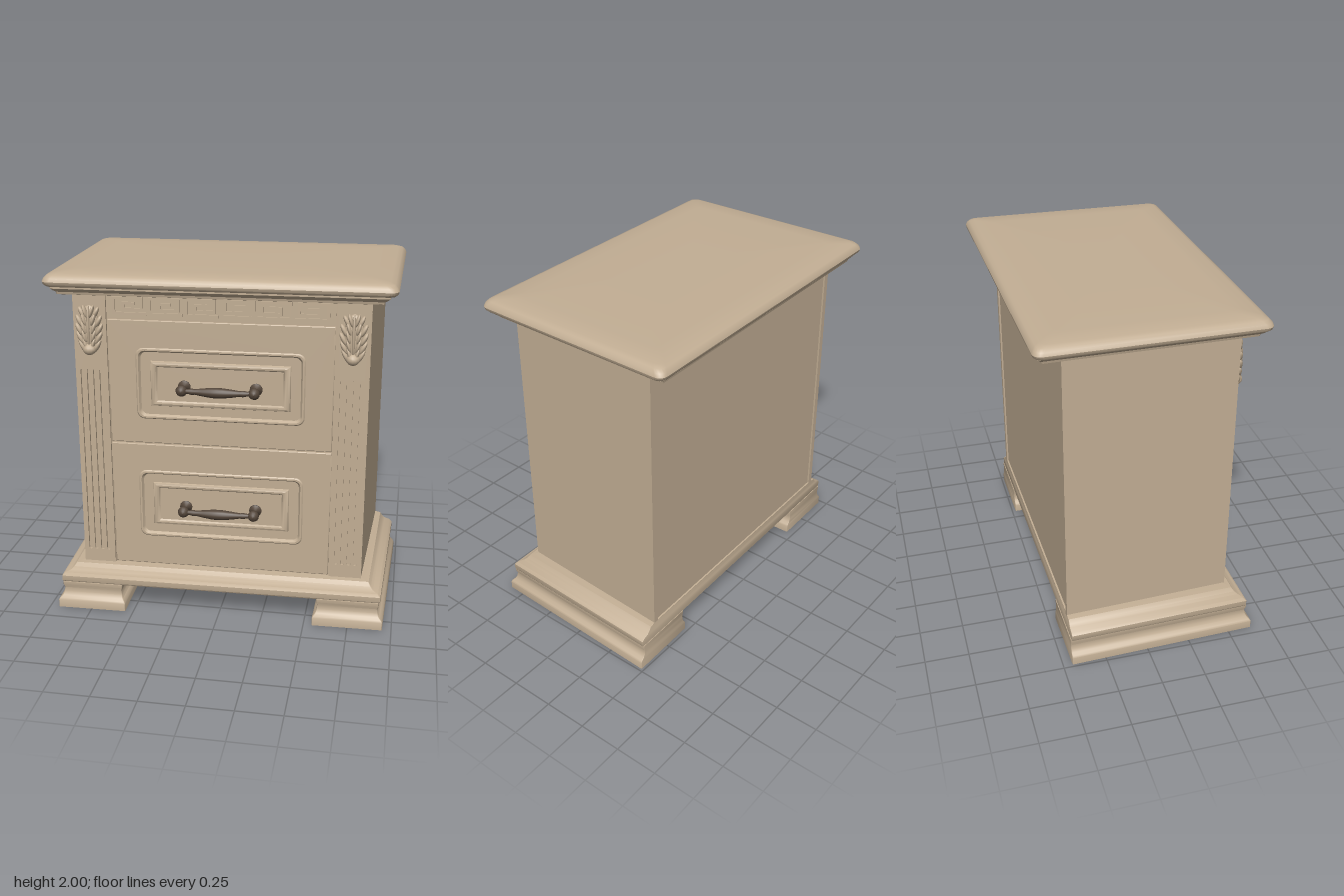
import * as THREE from 'three';
import { toCreasedNormals } from 'three/addons/utils/BufferGeometryUtils.js';

const paint = new THREE.MeshStandardMaterial({ color: 0xc2ae94 });
paint.name = 'beige paint';
const bronze = new THREE.MeshStandardMaterial({ color: 0x54463a });
bronze.name = 'dark bronze';

// Closed solid through rounded rectangles [x0, x1, z0, z1, cornerRadius, y]
function loft(rings, steps = 5) {
  const pos = [], idx = [], n = 4 * (steps + 1);
  for (const [x0, x1, z0, z1, r, y] of rings) {
    [[x1, z1, -1, -1], [x0, z1, 1, -1], [x0, z0, 1, 1], [x1, z0, -1, 1]].forEach(([x, z, sx, sz], q) => {
      for (let i = 0; i <= steps; i++) {
        const a = (q + i / steps) * Math.PI / 2;
        pos.push(x + sx * r + r * Math.cos(a), y, z + sz * r + r * Math.sin(a));
      }
    });
  }
  const last = rings.length - 1;
  for (const i of [0, last]) {
    const [x0, x1, z0, z1, , y] = rings[i];
    pos.push((x0 + x1) / 2, y, (z0 + z1) / 2);
  }
  const low = rings.length * n, high = low + 1;
  for (let j = 0; j < n; j++) {
    const k = (j + 1) % n;
    for (let i = 0; i < last; i++) {
      const a = i * n, b = a + n;
      idx.push(a + j, b + j, b + k, a + j, b + k, a + k);
    }
    idx.push(low, j, k, high, last * n + k, last * n + j);
  }
  const g = new THREE.BufferGeometry();
  g.setAttribute('position', new THREE.Float32BufferAttribute(pos, 3));
  g.setIndex(idx);
  return toCreasedNormals(g, 0.6);
}

const box = (x0, x1, y0, y1, z0, z1) =>
  new THREE.BoxGeometry(x1 - x0, y1 - y0, z1 - z0).translate((x0 + x1) / 2, (y0 + y1) / 2, (z0 + z1) / 2);

// The cabinet widens towards the back (taper) and is slightly askew
function settle(g, taper) {
  const p = g.attributes.position;
  for (let i = 0; i < p.count; i++) {
    const x = p.getX(i), z = p.getZ(i);
    p.setX(i, x * (1 - taper * z));
    p.setZ(i, z - 0.02 * x);
  }
  return g;
}

export function createModel() {
  const model = new THREE.Group();
  model.name = 'nightstand';
  const add = (name, g, taper = 0, material = paint) => {
    const m = new THREE.Mesh(settle(g, taper), material);
    m.name = name;
    model.add(m);
  };

  // Carcass: core, side edges around the recessed back
  add('carcass', box(-0.835, 0.835, 0.24, 1.88, -0.452, 0.478), 0.055);
  for (const s of [-1, 1]) {
    const [a, b] = [s * 0.802, s * 0.835].sort((p, q) => p - q);
    add('sideEdge', box(a, b, 0.24, 1.88, -0.462, -0.45), 0.055);
  }

  // Top slab with rounded edge, and the moulding beneath it
  const around = (x, z, r, y) => [-x, x, -z - 0.004, z, r, y];
  add('top', loft([[0.915, 0.575, 0.03, 1.915], [0.94, 0.6, 0.04, 1.92], [0.953, 0.613, 0.045, 1.932],
    [0.957, 0.617, 0.045, 1.947], [0.95, 0.61, 0.045, 1.965], [0.935, 0.595, 0.045, 1.98],
    [0.91, 0.57, 0.04, 1.989], [0.8, 0.46, 0.04, 1.995], [0.4, 0.2, 0.04, 2]].map(a => around(...a))), 0.016);
  add('topMoulding', loft([[0.87, 0.555, 0.01, 1.872], [0.885, 0.565, 0.01, 1.875], [0.888, 0.568, 0.01, 1.888],
    [0.9, 0.576, 0.01, 1.895], [0.915, 0.588, 0.01, 1.908], [0.915, 0.588, 0.01, 1.92]].map(a => around(...a))), 0.016);

  // Plinth, flush at the back
  add('plinth', loft([[0.945, 0.585, 0.152], [0.95, 0.59, 0.16], [0.95, 0.59, 0.19], [0.935, 0.575, 0.205],
    [0.905, 0.55, 0.215], [0.89, 0.535, 0.228], [0.875, 0.52, 0.25], [0.84, 0.49, 0.256]]
    .map(([x, z, y]) => [-x, x, -0.462, z, 0.004, y])), 0.035);

  // Runner feet with a coved profile
  for (const s of [-1, 1]) {
    add('foot', loft([[0, 0], [0, 0.045], [0.006, 0.056], [0.02, 0.07], [0.03, 0.09], [0.033, 0.115], [0.026, 0.135], [0.026, 0.154]]
      .map(([d, y]) => {
        const [a, b] = [s * (0.56 + d * 0.8), s * (0.969 - d)].sort((p, q) => p - q);
        return [a, b, -0.466, 0.62 - d, 0.005, y];
      })), 0.035);
  }

  // Fluted pilasters
  for (const s of [-1, 1]) {
    const shape = new THREE.Shape([[-0.092, 0.25], [0.092, 0.25], [0.092, 1.875], [-0.092, 1.875]].map(p => new THREE.Vector2(...p)));
    for (let i = 0; i < 4; i++) {
      const x = (i - 1.5) * 0.036, hole = new THREE.Path();
      hole.absarc(x, 1.428, 0.011, 0, Math.PI);
      hole.absarc(x, 0.342, 0.011, Math.PI, 2 * Math.PI);
      hole.closePath();
      shape.holes.push(hole);
    }
    add('pilaster', new THREE.ExtrudeGeometry(shape, { depth: 0.016, bevelEnabled: false, curveSegments: 6 })
      .translate(s * 0.721, 0, 0.477));
  }

  // Carved leaves: a bulging core, paired side lobes, a central rib and a curled tip
  const lobe = (x, y, z, w, h, d, tilt) => new THREE.SphereGeometry(1, 12, 8).scale(w, h, d).rotateZ(tilt).translate(x, y, z);
  for (const s of [-1, 1]) {
    const cx = s * 0.721;
    add('leafCore', lobe(cx, 1.665, 0.492, 0.06, 0.14, 0.035, 0));
    add('leafRib', lobe(cx, 1.68, 0.505, 0.012, 0.125, 0.034, 0));
    add('leafTip', lobe(cx, 1.56, 0.515, 0.038, 0.032, 0.035, 0));
    for (let i = 0; i < 5; i++) {
      for (const t of [-1, 1]) {
        const y = 1.575 + i * 0.046, spread = [0.04, 0.05, 0.054, 0.05, 0.035][i];
        add('leafLobe', lobe(cx + t * spread, y, 0.502, 0.014, 0.042, 0.022, -t * 0.5));
        add('leafVein', lobe(cx + t * spread * 0.5, y + 0.012, 0.513, 0.011, 0.038, 0.022, -t * 0.3));
      }
    }
  }

  // Frieze with a raised key pattern, mirrored about the centre
  add('frieze', box(-0.625, 0.625, 1.735, 1.875, 0.47, 0.484));
  const key = [[1, 0], [0.14, 0], [0.14, 1], [0.92, 1], [0.92, 0.28], [0.4, 0.28], [0.4, 0.66], [0.68, 0.66]];
  const w = 0.0075;
  for (const s of [-1, 1]) {
    for (let u = 0; u < 3; u++) {
      const pts = key.map(([x, y]) => [s * (0.612 - (u + x) * 0.2), 1.762 + y * 0.086]);
      for (let i = 1; i < pts.length; i++) {
        const [p, q] = [pts[i - 1], pts[i]];
        add('keyPattern', box(Math.min(p[0], q[0]) - w, Math.max(p[0], q[0]) + w,
          Math.min(p[1], q[1]) - w, Math.max(p[1], q[1]) + w, 0.482, 0.493));
      }
    }
  }

  // Drawers: front with rounded sunken field and raised rectangular panel, plus a pull handle
  for (const [y0, y1, yc] of [[0.264, 1.01, 0.647], [1.019, 1.728, 1.369]]) {
    const flat = (hx, hy, r, z) => [-hx, hx, -hy, hy, r, z];
    const edge = (d, z) => [-0.623 + d, 0.623 - d, yc - y1 + d, yc - y0 - d, 0.002, z];
    add('drawerFront', loft([edge(0, 0.47), edge(0, 0.489), edge(0.004, 0.493),
      flat(0.47, 0.205, 0.045, 0.493), flat(0.464, 0.199, 0.042, 0.499), flat(0.455, 0.19, 0.038, 0.499),
      flat(0.445, 0.18, 0.034, 0.483), flat(0.39, 0.13, 0.003, 0.483), flat(0.386, 0.126, 0.003, 0.492),
      flat(0.372, 0.115, 0.003, 0.498), flat(0.357, 0.104, 0.003, 0.496), flat(0.35, 0.097, 0.003, 0.488)])
      .rotateX(Math.PI / 2).translate(0, yc, 0));

    const hy = yc - 0.01;
    const bar = new THREE.LatheGeometry([[0.004, -0.215], [0.014, -0.2], [0.013, -0.165], [0.018, -0.14], [0.015, -0.125],
      [0.022, -0.08], [0.028, -0.03], [0.029, 0], [0.028, 0.03], [0.022, 0.08], [0.015, 0.125], [0.018, 0.14],
      [0.013, 0.165], [0.014, 0.2], [0.004, 0.215]].map(p => new THREE.Vector2(...p)), 16).rotateZ(Math.PI / 2);
    const p = bar.attributes.position;
    for (let i = 0; i < p.count; i++) p.setZ(i, p.getZ(i) + 0.563 + 0.014 * (1 - (p.getX(i) / 0.215) ** 2));
    add('handleBar', bar.translate(0, hy, 0), 0, bronze);
    for (const s of [-1, 1]) {
      const post = new THREE.LatheGeometry([[0, 0], [0.036, 0], [0.035, 0.008], [0.018, 0.018], [0.014, 0.04], [0.02, 0.055],
        [0.03, 0.068], [0.032, 0.082], [0.026, 0.098], [0.014, 0.107], [0, 0.11]].map(q => new THREE.Vector2(...q)), 16);
      add('handlePost', post.rotateX(Math.PI / 2).translate(s * 0.2, hy, 0.486), 0, bronze);
    }
  }
  return model;
}
